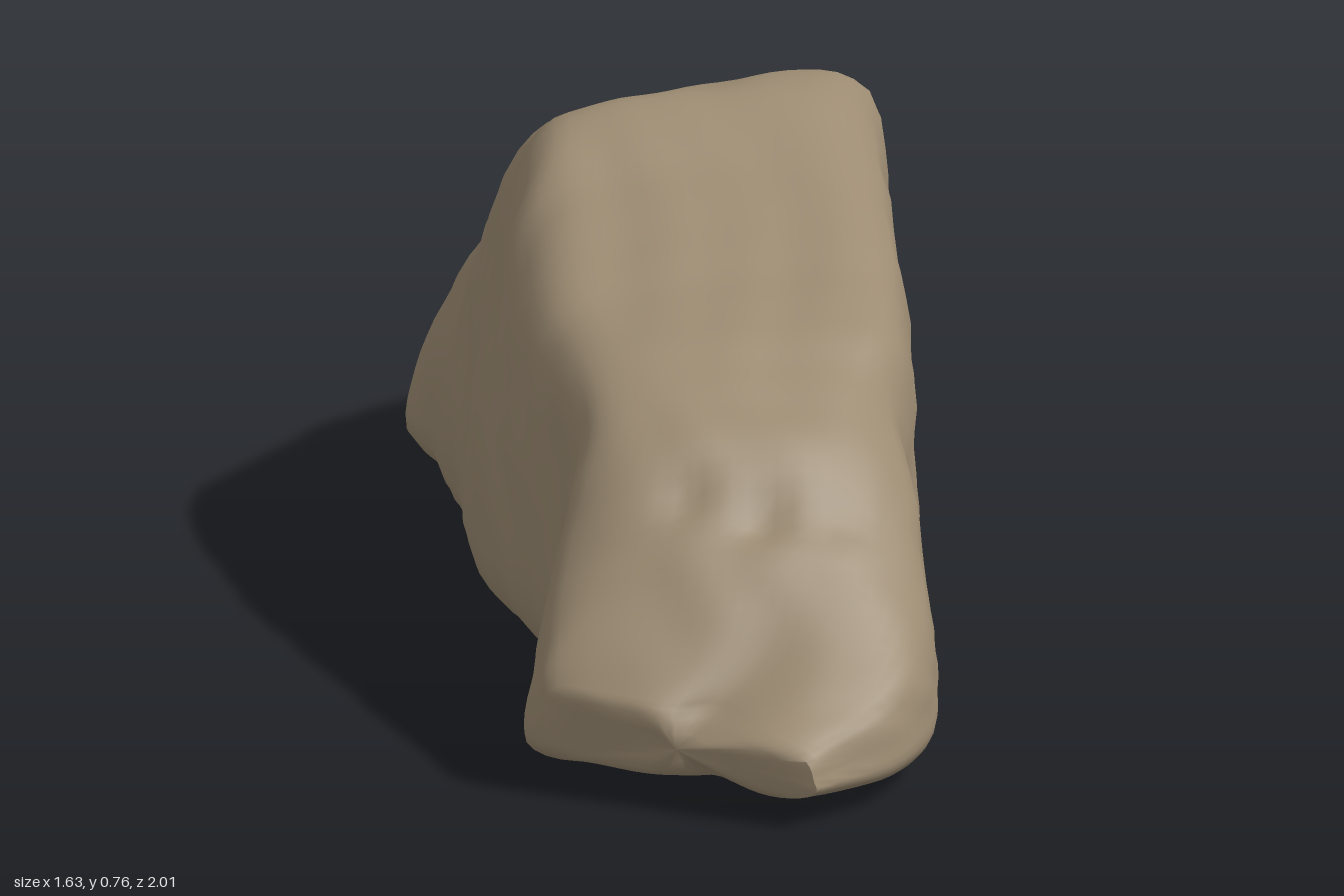
import * as THREE from 'three';
import { toCreasedNormals } from 'three/addons/utils/BufferGeometryUtils.js';

const RING = 72, STEPS = 80;

// Stations along the boulder: left foot x, z, right foot x, z,
// bottom left, bottom right, top left, top right heights, crown in the middle.
const stations = [
  [-0.82, -0.27, -0.47, -1.01, 0.02, 0.09, 0.28, 0.32, 0.00],
  [-0.79, -0.18, -0.36, -0.91, 0.02, 0.05, 0.35, 0.40, 0.02],
  [-0.67, -0.08, -0.24, -0.80, 0.01, 0.02, 0.50, 0.52, 0.04],
  [-0.53, 0.08, -0.13, -0.63, 0.01, 0.02, 0.66, 0.67, 0.04],
  [-0.42, 0.20, -0.02, -0.47, 0.02, 0.01, 0.74, 0.75, 0.04],
  [-0.28, 0.38, 0.13, -0.28, 0.04, 0.02, 0.67, 0.71, 0.04],
  [-0.11, 0.53, 0.29, -0.07, 0.05, 0.03, 0.61, 0.66, 0.03],
  [0.04, 0.63, 0.42, 0.10, 0.05, 0.04, 0.59, 0.61, 0.03],
  [0.13, 0.72, 0.52, 0.27, 0.03, 0.04, 0.53, 0.52, 0.06],
  [0.17, 0.82, 0.63, 0.38, 0.02, 0.03, 0.42, 0.41, 0.11],
  [0.21, 0.92, 0.75, 0.52, 0.03, 0.02, 0.30, 0.28, 0.11],
  [0.25, 0.99, 0.81, 0.69, 0.06, 0.03, 0.25, 0.20, 0.05],
  [0.28, 1.01, 0.77, 0.91, 0.08, 0.06, 0.21, 0.14, 0.01],
];

// Cross-section halves (across, up), from the base to the top
const leftHalf = [[0, 0.04], [0.55, 0.02], [0.86, 0.03], [0.98, 0.13], [1, 0.28], [0.98, 0.5],
  [0.94, 0.72], [0.89, 0.9], [0.74, 0.985], [0.35, 1], [0, 1]];
const rightHalf = [[0.48, 0.02], [0.77, 0.05], [0.93, 0.16], [1, 0.33], [0.98, 0.55],
  [0.96, 0.76], [0.91, 0.92], [0.76, 0.985], [0.35, 1]];

// Dents: centre x, y, z, radius, depth
const dents = [
  [0.08, 0.58, -0.32, 0.07, 0.04], [0.0, 0.36, -0.48, 0.13, 0.03], [0.22, 0.25, -0.18, 0.14, 0.025],
  [-0.14, 0.3, -0.66, 0.1, 0.03], [-0.5, 0.5, -0.6, 0.11, 0.04], [-0.64, 0.3, -0.55, 0.09, 0.03],
  [0.5, 0.44, 0.65, 0.06, 0.025], [0.38, 0.47, 0.72, 0.05, 0.02], [0.57, 0.38, 0.56, 0.05, 0.025],
  [-0.36, 0.22, 0.27, 0.08, 0.02], [0.1, 0.25, 0.7, 0.1, 0.015], [-0.53, 0.2, -0.85, 0.07, 0.03],
];

// Smooth interpolation through rows of numbers
function sample(rows, t) {
  const f = t * (rows.length - 1), i = Math.min(Math.floor(f), rows.length - 2), u = f - i;
  const a = rows[Math.max(i - 1, 0)], b = rows[i], c = rows[i + 1], d = rows[Math.min(i + 2, rows.length - 1)];
  return b.map((v, k) => v + 0.5 * u * (c[k] - a[k] +
    u * (2 * a[k] - 5 * v + 4 * c[k] - d[k] + u * (3 * (v - c[k]) + d[k] - a[k]))));
}

// Gentle lumps over the stone
function lumps(p) {
  const wave = (f, s) => Math.sin(p.x * f + s + 1.3 * Math.sin(p.y * f * 0.8 + s)) *
    Math.sin(p.z * f * 0.9 + 2 * s + Math.cos(p.y * f + p.x * 3));
  return 0.005 * wave(8, 0.7) + 0.005 * wave(17, 2.1) + 0.003 * wave(35, 4.4);
}

function stoneGeometry() {
  const profile = new THREE.CatmullRomCurve3([
    ...leftHalf.map(([s, h]) => new THREE.Vector3(-s, h, 0)),
    ...rightHalf.reverse().map(([s, h]) => new THREE.Vector3(s, h, 0)),
  ], true).getSpacedPoints(RING).slice(0, RING);
  const m = THREE.MathUtils.lerp;
  const rings = [];

  for (let j = 0; j <= STEPS; j++) {
    const t = j / STEPS;
    const [lx, lz, rx, rz, bl, br, tl, tr, crown] = sample(stations, t);
    const notch = 0.06 * Math.max(0, (t - 0.86) / 0.14);
    // the left wall leans inward toward the back
    const lean = 0.2 * (1 - THREE.MathUtils.smoothstep(t, 0.3, 0.6));
    const centre = new THREE.Vector3((lx + rx) / 2, (bl + br + tl + tr) / 4, (lz + rz) / 2);
    rings.push(profile.map((q) => {
      const s = q.x < 0 ? q.x * (1 - lean * q.y * q.y) : q.x, w = (s + 1) / 2;
      const low = m(bl, br, w), high = m(tl, tr, w) + crown * Math.max(0, 1 - s * s);
      const p = new THREE.Vector3(m(lx, rx, w), m(low, high, q.y), m(lz, rz, w));
      // cleft in the front toe
      const pull = notch * Math.exp(-(((s - 0.25) / 0.25) ** 2));
      p.x -= pull * 0.5;
      p.z -= pull * 0.85;
      let push = lumps(p);
      for (const [x, y, z, r, depth] of dents) {
        const d2 = (p.x - x) ** 2 + (p.y - y) ** 2 + (p.z - z) ** 2;
        push -= depth * Math.exp(-d2 / (r * r * 0.5));
      }
      return p.addScaledVector(p.clone().sub(centre).normalize(), push);
    }));
  }

  // Close both ends with shrinking rings that bulge slightly outward
  const shrink = (ring, k, bulge) => {
    const c = ring.reduce((s, p) => s.add(p), new THREE.Vector3()).divideScalar(ring.length);
    return ring.map((p) => {
      const r = p.clone().lerp(c, k);
      r.x += bulge * 0.6;
      r.z += bulge * 0.8;
      return r;
    });
  };
  const first = rings[0], last = rings[STEPS];
  rings.unshift(shrink(first, 0.999, -0.02), shrink(first, 0.6, -0.02), shrink(first, 0.2, -0.012));
  rings.push(shrink(last, 0.2, 0.008), shrink(last, 0.6, 0.012), shrink(last, 0.999, 0.012));

  const index = [];
  for (let j = 0; j < rings.length - 1; j++) {
    for (let i = 0; i < RING; i++) {
      const a = j * RING + i, b = j * RING + (i + 1) % RING;
      index.push(a, a + RING, b, b, a + RING, b + RING);
    }
  }
  const geometry = new THREE.BufferGeometry().setFromPoints(rings.flat());
  geometry.setIndex(index);
  return toCreasedNormals(geometry, 1);
}

export function createModel() {
  const stone = new THREE.MeshStandardMaterial({ color: 0x9c8b72 });
  stone.name = 'brownStone';
  const boulder = new THREE.Mesh(stoneGeometry(), stone);
  boulder.name = 'boulder';
  // Rest on the ground
  boulder.geometry.computeBoundingBox();
  boulder.position.y = -boulder.geometry.boundingBox.min.y;
  const group = new THREE.Group();
  group.name = 'rock';
  group.add(boulder);
  return group;
}
